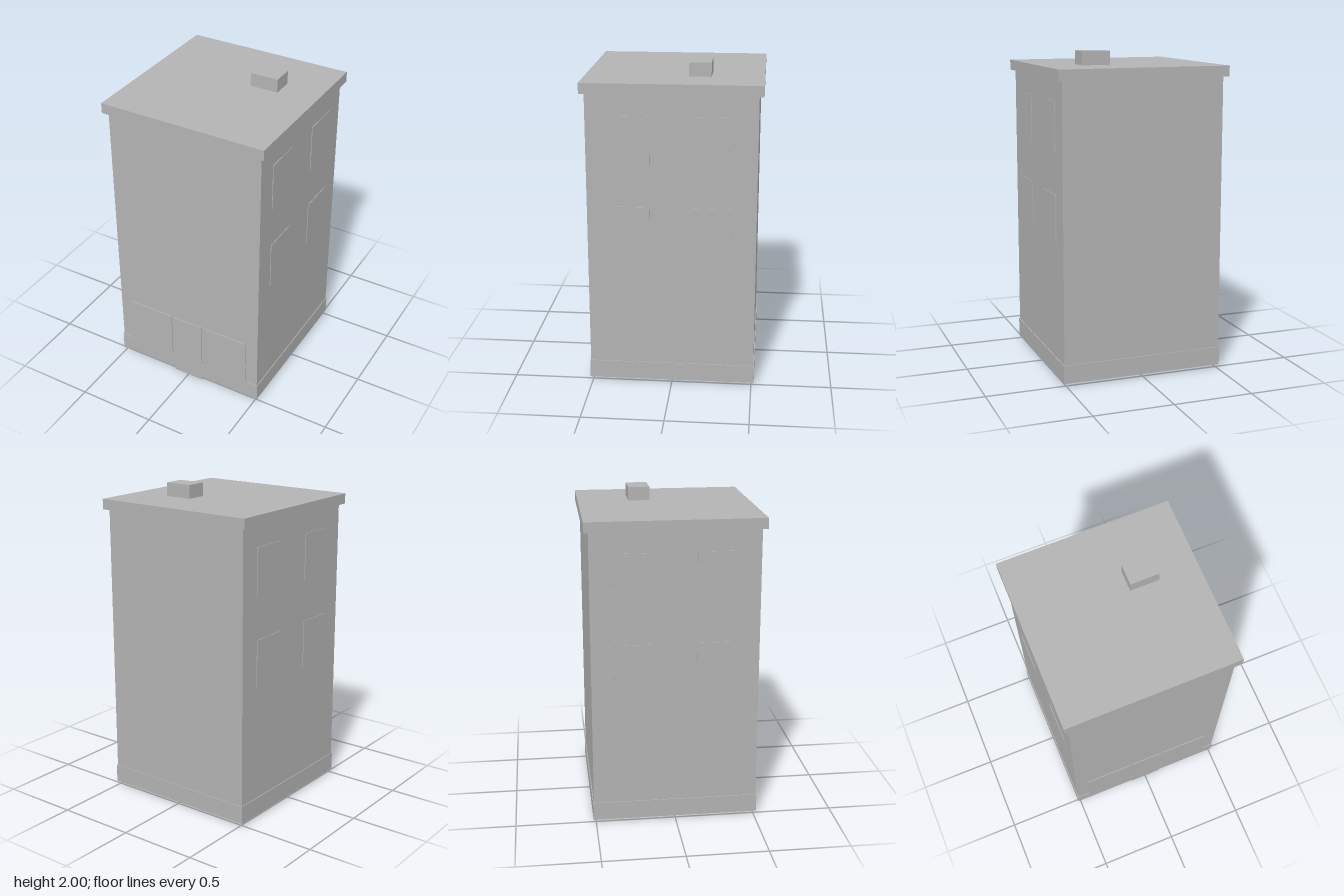
import * as THREE from 'three';

export function createModel() {
  const model = new THREE.Group();
  model.name = 'building';

  const grey = new THREE.MeshStandardMaterial({ color: 0xb3b3b3 });
  grey.name = 'plain grey';

  // Axis-aligned block given by its lower and upper corners
  function block(name, [x0, y0, z0], [x1, y1, z1], parent = model) {
    const mesh = new THREE.Mesh(new THREE.BoxGeometry(x1 - x0, y1 - y0, z1 - z0), grey);
    mesh.position.set((x0 + x1) / 2, (y0 + y1) / 2, (z0 + z1) / 2);
    mesh.name = name;
    parent.add(mesh);
    return mesh;
  }

  const W = 0.512; // half width of the walls
  const P = 0.517; // half width of the plinth
  const plinthTop = 0.135;

  // Walls, flat roof slab and chimney
  block('walls', [-W, plinthTop, -W], [W, 1.85, W]);
  block('roof', [-0.54, 1.85, -0.54], [0.54, 1.915, 0.54]);
  block('chimney', [0.112, 1.915, -0.222], [0.292, 2, -0.088]);

  // Hollow skirt around the foot, open underneath
  const plinth = new THREE.Group();
  plinth.name = 'plinth';
  model.add(plinth);
  for (const s of [-1, 1]) {
    const [a, b] = s > 0 ? [W, P] : [-P, -W];
    block('plinthEnd', [-P, 0.02, a], [P, plinthTop, b], plinth);
    block('plinthSide', [a, 0.02, -W], [b, plinthTop, W], plinth);
  }

  // Two rows of two raised windows on each side wall
  for (const s of [-1, 1]) {
    const [a, b] = s > 0 ? [W, W + 0.004] : [-W - 0.004, -W];
    for (const y of [0.86, 1.42]) {
      for (const z of [-0.25, 0.25]) {
        block('sideWindow', [a, y, z - 0.12], [b, y + 0.3, z + 0.12]);
      }
    }
  }

  // Front door reaching the ground, with a wide window on either side
  block('door', [-0.105, 0, W], [0.105, 0.45, P + 0.001]);
  block('frontWindowLeft', [0.12, 0.12, W], [0.43, 0.45, P + 0.001]);
  block('frontWindowRight', [-0.43, 0.12, W], [-0.12, 0.45, P + 0.001]);

  return model;
}
